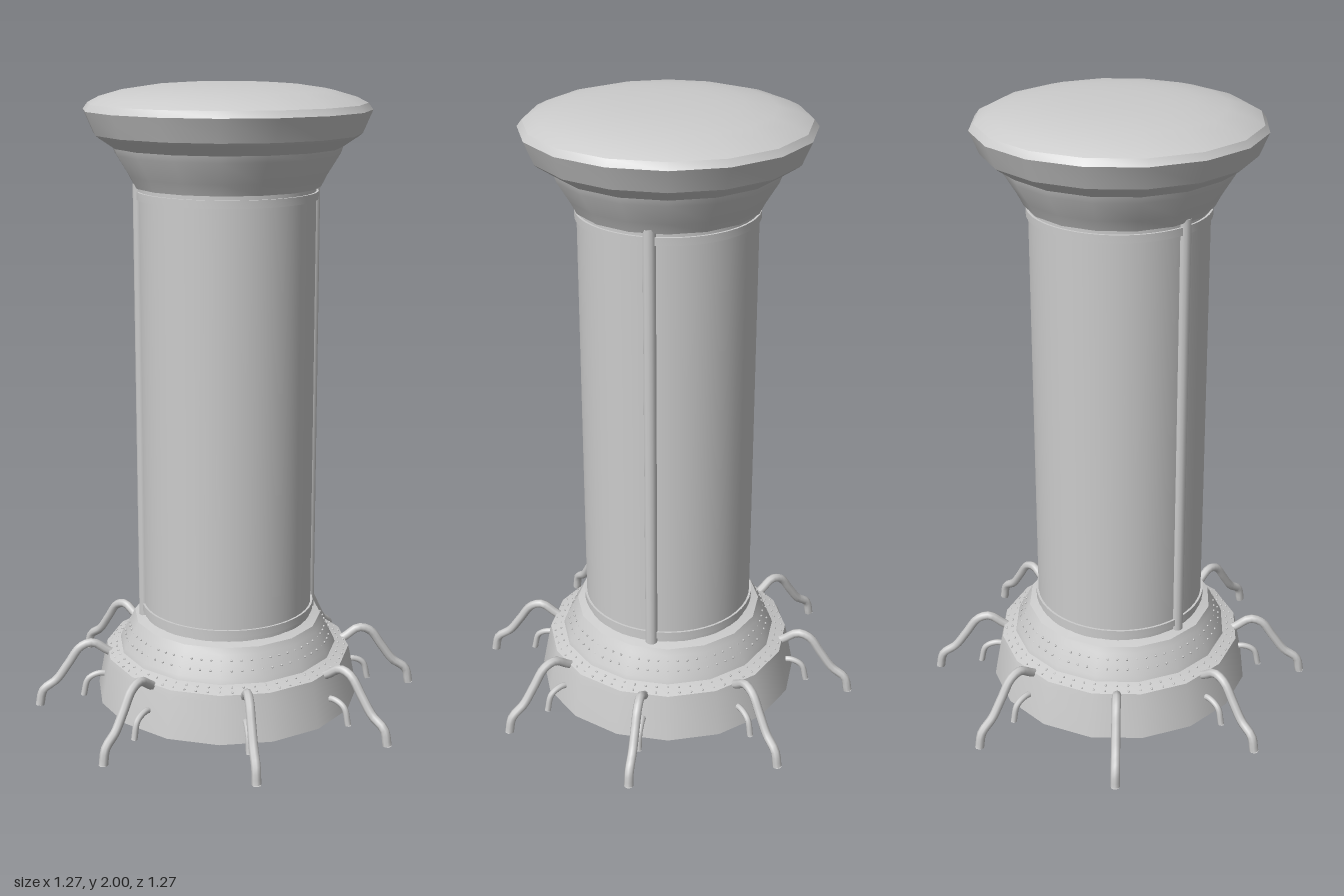
import * as THREE from 'three';
import { toCreasedNormals, mergeGeometries } from 'three/addons/utils/BufferGeometryUtils.js';

const material = new THREE.MeshStandardMaterial({ color: 0xcccccc, side: THREE.DoubleSide });

function addMesh(parent, name, geometry) {
  const mesh = new THREE.Mesh(geometry, material);
  mesh.name = name;
  parent.add(mesh);
  return mesh;
}

// Ring of straight facets, softened around the axis and sharp between bands
function turned(profile, sides = 16) {
  const points = profile.map(([r, y]) => new THREE.Vector2(r, y));
  return toCreasedNormals(new THREE.LatheGeometry(points, sides, Math.PI / sides), 0.42);
}

function pipe(points, radius) {
  const curve = new THREE.CatmullRomCurve3(points.map(([x, y]) => new THREE.Vector3(x, y, 0)));
  const tube = new THREE.TubeGeometry(curve, 24, radius, 8);
  // Close the free end
  const cap = new THREE.CircleGeometry(radius, 8).rotateX(Math.PI / 2);
  const [x, y] = points[points.length - 1];
  cap.translate(x, y, 0);
  return mergeGeometries([tube, cap]);
}

// Rivets evenly spaced on a circle
function rivetRing(radius, y, count = 64) {
  const rivets = [];
  for (let i = 0; i < count; i++) {
    const a = (i / count) * Math.PI * 2;
    rivets.push(new THREE.SphereGeometry(0.004, 5, 4)
      .translate(Math.cos(a) * radius, y, Math.sin(a) * radius));
  }
  return mergeGeometries(rivets);
}

export function createModel() {
  const model = new THREE.Group();
  model.name = 'column';

  // Hollow stepped base, open underneath
  addMesh(model, 'base', turned([
    [0.43, 0.03], [0.405, 0.16], [0.4, 0.18], [0.355, 0.195], [0.35, 0.21],
    [0.315, 0.275], [0.305, 0.295], [0.27, 0.305],
  ]));
  addMesh(model, 'baseCeiling', new THREE.CircleGeometry(0.28, 32).rotateX(Math.PI / 2)).position.y = 0.3;

  // Shaft with end bands
  addMesh(model, 'shaft', new THREE.CylinderGeometry(0.273, 0.273, 1.4, 48, 1, true)).position.y = 1;
  for (const y of [0.33, 1.665]) {
    addMesh(model, 'shaftBand', turned([
      [0.27, y - 0.012], [0.28, y - 0.012], [0.28, y + 0.012], [0.27, y + 0.012],
    ], 48));
  }

  // Rods along both sides of the shaft
  for (const side of [-1, 1]) {
    addMesh(model, 'sideRod', new THREE.CylinderGeometry(0.02, 0.02, 1.4, 12))
      .position.set(side * 0.27, 1, 0);
  }

  // Flared capital with domed top
  addMesh(model, 'capital', turned([
    [0.27, 1.69], [0.287, 1.69], [0.305, 1.725], [0.345, 1.79], [0.352, 1.81],
    [0.4, 1.842], [0.41, 1.85], [0.44, 1.92], [0.425, 1.94], [0.39, 1.958],
    [0.32, 1.978], [0.225, 1.992], [0.15, 1.997], [0.08, 2], [0, 2],
  ]));

  // Rivets on the sloping ledges
  for (const [r, y] of [[0.385, 0.184], [0.365, 0.191], [0.335, 0.232], [0.32, 0.26]]) {
    addMesh(model, 'rivets', rivetRing(r, y));
  }

  // Eight arched pipes, each with a smaller one beneath it
  const large = pipe([
    [0.35, 0.15], [0.4, 0.18], [0.445, 0.208], [0.485, 0.195], [0.525, 0.14],
    [0.565, 0.085], [0.61, 0.05], [0.622, 0],
  ], 0.0145);
  const small = pipe([[0.38, 0.09], [0.425, 0.098], [0.462, 0.08], [0.478, 0.025]], 0.01);
  for (let i = 0; i < 8; i++) {
    const pair = new THREE.Group();
    pair.name = 'footPipes';
    addMesh(pair, 'largePipe', large);
    addMesh(pair, 'smallPipe', small);
    pair.rotation.y = (i * Math.PI) / 4;
    model.add(pair);
  }
  return model;
}
